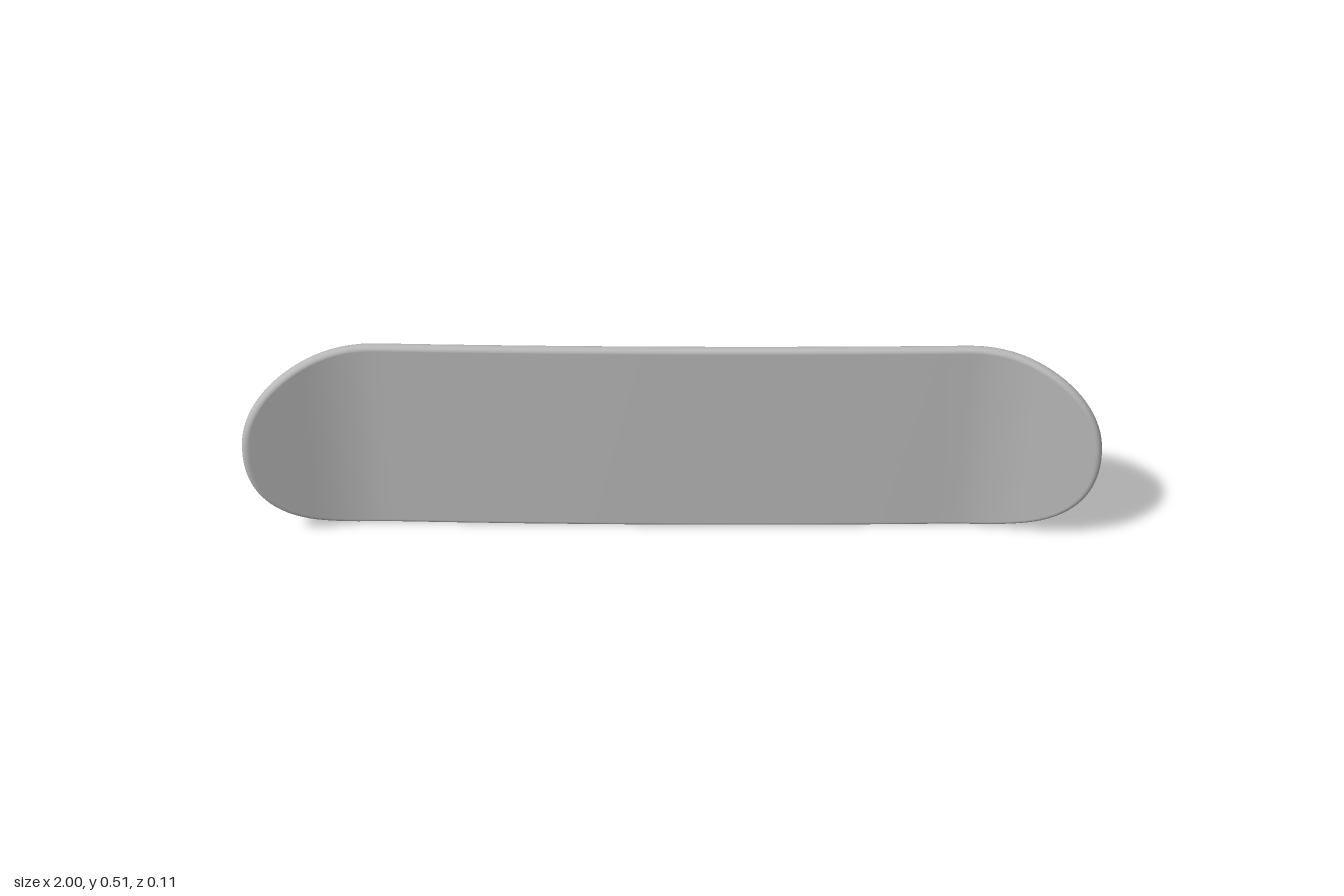
import * as THREE from 'three';

const HALF_LENGTH = 0.997, HALF_WIDTH = 0.254, STRAIGHT = 0.69;
const THICKNESS = 0.026, MID_Y = 0.254;

// Lengthwise bend: a gentle sag in the middle, then upturned nose and tail.
function bend(x) {
  const a = Math.abs(x);
  const camber = -0.0375 - 0.009 * Math.min(a / 0.68, 1) ** 2;
  const u = Math.max(a - 0.68, 0), w = 0.17, slope = 0.4;
  return camber + slope * (u < w ? (u * u) / (2 * w) : u - w / 2);
}

// Closed outline, counterclockwise from the +x tip, mirrored in x and y.
function outline() {
  const quarter = [], arc = 24, flat = 20, p = 2 / 2.2;
  for (let i = 0; i <= arc; i++) {
    const t = (i / arc) * Math.PI / 2;
    quarter.push([
      STRAIGHT + (HALF_LENGTH - STRAIGHT) * Math.max(Math.cos(t), 0) ** p,
      HALF_WIDTH * Math.sin(t) ** p,
    ]);
  }
  for (let i = 1; i <= flat; i++) quarter.push([STRAIGHT * (1 - i / flat), HALF_WIDTH]);
  const upper = [...quarter, ...quarter.slice(0, -1).reverse().map(([x, y]) => [-x, y])];
  const lower = upper.slice(1, -1).reverse().map(([x, y]) => [x, -y]);
  return [...upper, ...lower];
}

function deckGeometry() {
  const ring = outline(), count = ring.length, half = count / 2;
  const positions = [], index = [];

  // Rounded rim profile: inset from the outline and offset through the thickness.
  const layers = [], steps = 5, r = 0.011, h = THICKNESS / 2;
  for (let side = -1; side <= 1; side += 2) {
    for (let i = 0; i <= steps; i++) {
      const a = ((side < 0 ? steps - i : i) / steps) * Math.PI / 2;
      layers.push([r * (1 - Math.cos(a)), side * (h - r + r * Math.sin(a))]);
    }
  }

  for (const [inset, offset] of layers) {
    for (let i = 0; i < count; i++) {
      const a = ring[(i + count - 1) % count], b = ring[(i + 1) % count];
      const dx = b[0] - a[0], dy = b[1] - a[1], len = Math.hypot(dx, dy);
      const x = ring[i][0] - (dy / len) * inset;
      const y = ring[i][1] + (dx / len) * inset;
      // Offset along the normal of the bent centre surface.
      const slope = (bend(x + 0.002) - bend(x - 0.002)) / 0.004;
      const n = Math.hypot(1, slope);
      positions.push(x - (offset * slope) / n, y + MID_Y, bend(x) + offset / n);
    }
  }

  // Rim
  for (let k = 0; k < layers.length - 1; k++) {
    for (let i = 0; i < count; i++) {
      const j = (i + 1) % count, a = k * count, b = a + count;
      index.push(a + i, a + j, b + j, a + i, b + j, b + i);
    }
  }

  // Front and back faces: strips between the upper and lower edges
  const front = (layers.length - 1) * count;
  for (let i = 0; i < half; i++) {
    const j = i + 1, li = (count - i) % count, lj = count - j;
    if (j < half) {
      index.push(front + i, front + j, front + lj);
      index.push(i, lj, j);
    }
    if (i > 0) {
      index.push(front + i, front + lj, front + li);
      index.push(i, li, lj);
    }
  }

  const geometry = new THREE.BufferGeometry();
  geometry.setAttribute('position', new THREE.Float32BufferAttribute(positions, 3));
  geometry.setIndex(index);
  geometry.computeVertexNormals();
  return geometry;
}

export function createModel() {
  const grey = new THREE.MeshStandardMaterial({ color: 0xb8b8b8 });
  grey.name = 'deck grey';
  const deck = new THREE.Mesh(deckGeometry(), grey);
  deck.name = 'deck';
  const model = new THREE.Group();
  model.name = 'skateboardDeck';
  model.add(deck);
  return model;
}
